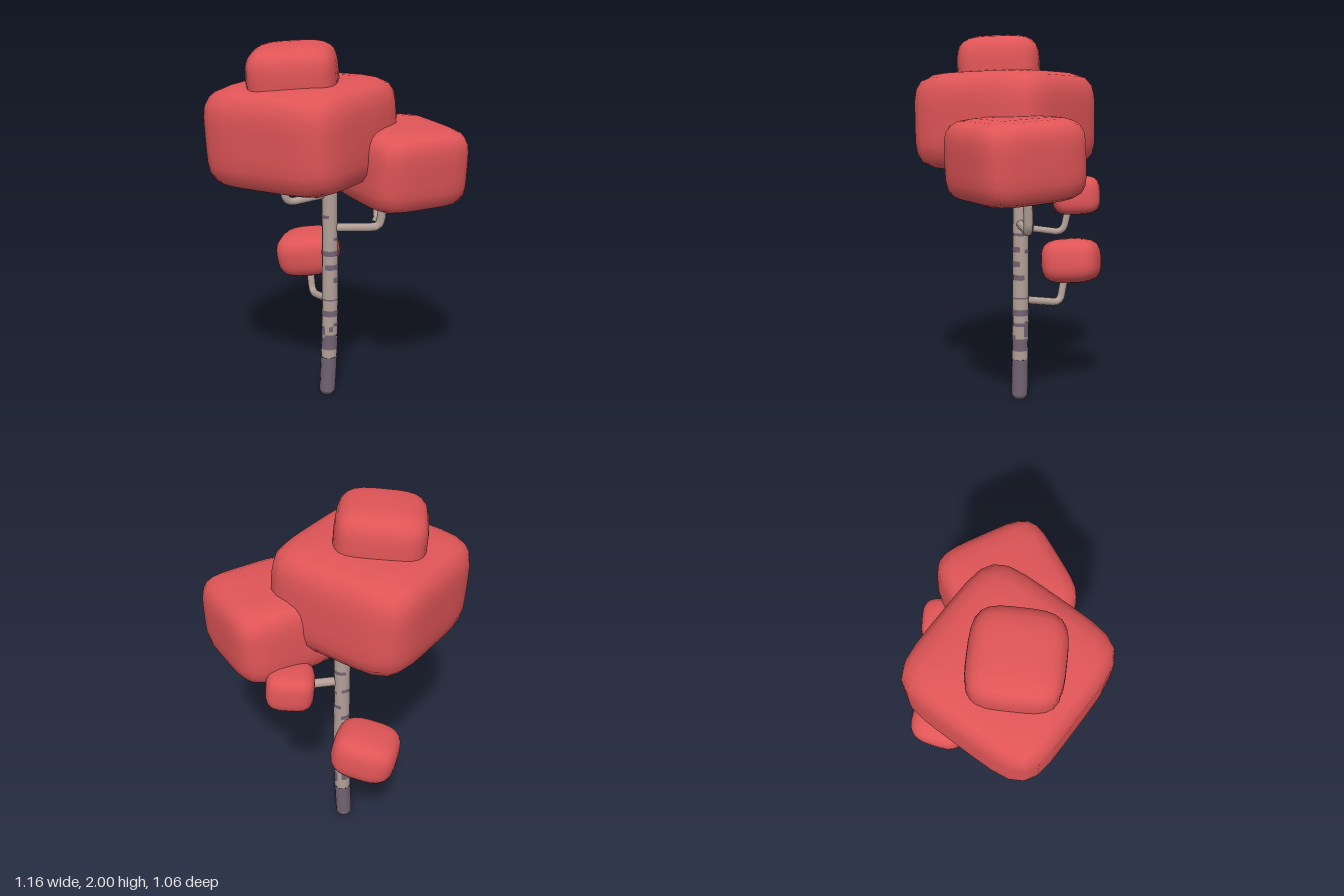
import * as THREE from 'three';
import { mergeVertices } from 'three/addons/utils/BufferGeometryUtils.js';

const leafRed = new THREE.MeshStandardMaterial({ color: 0xe05557 });
leafRed.name = 'leaf red';
const paleBark = new THREE.MeshStandardMaterial({ color: 0xb3a098 });
paleBark.name = 'pale bark';
const darkBark = new THREE.MeshStandardMaterial({ color: 0x736373 });
darkBark.name = 'dark bark';

// Soft pillow block: a subdivided cube pulled onto a rounded-cube surface of power n
function leafBlock(name, center, half, rotation, n) {
  let geo = new THREE.BoxGeometry(2, 2, 2, 8, 8, 8);
  geo.deleteAttribute('uv');
  geo.deleteAttribute('normal');
  geo = mergeVertices(geo);
  const pos = geo.attributes.position;
  const v = new THREE.Vector3();
  for (let i = 0; i < pos.count; i++) {
    v.fromBufferAttribute(pos, i);
    const sum = Math.abs(v.x) ** n + Math.abs(v.y) ** n + Math.abs(v.z) ** n;
    v.multiplyScalar(sum ** (-1 / n));
    pos.setXYZ(i, v.x * half[0], v.y * half[1], v.z * half[2]);
  }
  geo.computeVertexNormals();
  const mesh = new THREE.Mesh(geo, leafRed);
  mesh.name = name;
  mesh.position.set(...center);
  mesh.rotation.set(...rotation);
  return mesh;
}

// Trunk section between two heights, following the gentle lean of the trunk.
// start and count are in twelfths of a turn, beginning at the front.
function trunkSection(name, material, y0, y1, r0, r1, start = 0, count = 12, open = true) {
  const geo = new THREE.CylinderGeometry(r1, r0, y1 - y0, count, 6, open,
    start * Math.PI / 6, count * Math.PI / 6);
  geo.translate(0, (y0 + y1) / 2, 0);
  const pos = geo.attributes.position;
  for (let i = 0; i < pos.count; i++) {
    const t = Math.min(pos.getY(i) / 0.7, 1);
    const lean = t * (2 - t) * 0.014;
    pos.setX(i, pos.getX(i) - 0.108 + lean);
    pos.setZ(i, pos.getZ(i) - 0.008 - lean);
  }
  const mesh = new THREE.Mesh(geo, material);
  mesh.name = name;
  return mesh;
}

// Bent twig: two straight runs joined by a rounded elbow
function branch(name, a, b, c, radius = 0.022) {
  const [A, B, C] = [a, b, c].map((p) => new THREE.Vector3(...p));
  const bendIn = B.clone().lerp(A, 0.045 / A.distanceTo(B));
  const bendOut = B.clone().lerp(C, 0.045 / B.distanceTo(C));
  const path = new THREE.CurvePath();
  path.add(new THREE.LineCurve3(A, bendIn));
  path.add(new THREE.QuadraticBezierCurve3(bendIn, B, bendOut));
  path.add(new THREE.LineCurve3(bendOut, C));
  const mesh = new THREE.Mesh(new THREE.TubeGeometry(path, 18, radius, 8), paleBark);
  mesh.name = name;
  return mesh;
}

export function createModel() {
  const tree = new THREE.Group();
  tree.name = 'tree';

  // Trunk with a chamfered dark foot
  tree.add(
    trunkSection('trunkFoot', darkBark, 0, 0.02, 0.034, 0.045, 0, 12, false),
    trunkSection('trunkBase', darkBark, 0.02, 0.23, 0.045, 0.046),
    trunkSection('trunk', paleBark, 0.23, 1.4, 0.045, 0.042),
  );

  // Dark bark marks: bottom, top, start, count
  const marks = [
    [0.28, 0.35, 11, 7], [0.35, 0.37, 0, 3], [0.37, 0.42, 8, 4], [0.39, 0.42, 1, 1],
    [0.30, 0.36, 7, 2], [0.36, 0.45, 5, 2], [0.42, 0.44, 2, 3], [0.48, 0.515, 0, 12],
    [0.575, 0.583, 0, 12], [0.68, 0.71, 2, 3], [0.755, 0.785, 0, 4], [0.755, 0.78, 7, 3],
    [0.835, 0.865, 9, 7], [0.83, 0.85, 5, 2], [0.925, 0.94, 2, 4], [0.94, 0.96, 7, 3],
    [1.05, 1.068, 10, 3], [1.06, 1.08, 5, 3],
  ];
  for (const [y0, y1, start, count] of marks) {
    tree.add(trunkSection('barkMark', darkBark, y0, y1, 0.0465, 0.0465, start, count));
  }

  // Branches reaching up into the foliage
  tree.add(
    branch('lowerBranch', [-0.1, 0.565, -0.025], [-0.305, 0.525, -0.15], [-0.335, 0.69, -0.165]),
    branch('frontBranch', [-0.1, 1.18, -0.02], [-0.23, 1.155, 0.18], [-0.255, 1.32, 0.21]),
    branch('backBranch', [-0.09, 0.99, -0.02], [0.115, 0.98, -0.205], [0.14, 1.22, -0.21], 0.025),
    branch('backTwig', [0.085, 1.0, -0.18], [0.005, 0.98, -0.345], [-0.02, 1.14, -0.37], 0.018),
  );

  // Foliage
  tree.add(
    leafBlock('mainFoliage', [-0.165, 1.54, 0.118], [0.405, 0.268, 0.408], [0.035, 0, 0.03], 5.2),
    leafBlock('topFoliage', [-0.18, 1.825, 0.174], [0.23, 0.172, 0.225], [0.04, 0.53, 0.04], 3.8),
    leafBlock('sideFoliage', [0.234, 1.365, -0.194], [0.3, 0.212, 0.287], [-0.02, -0.44, -0.06], 5),
    leafBlock('lowerFoliage', [-0.36, 0.76, -0.19], [0.172, 0.125, 0.162], [0.08, 0.35, 0.13], 3.2),
    leafBlock('backFoliage', [-0.035, 1.175, -0.395], [0.122, 0.1, 0.122], [0.05, 0.6, 0.05], 3.6),
  );
  return tree;
}
